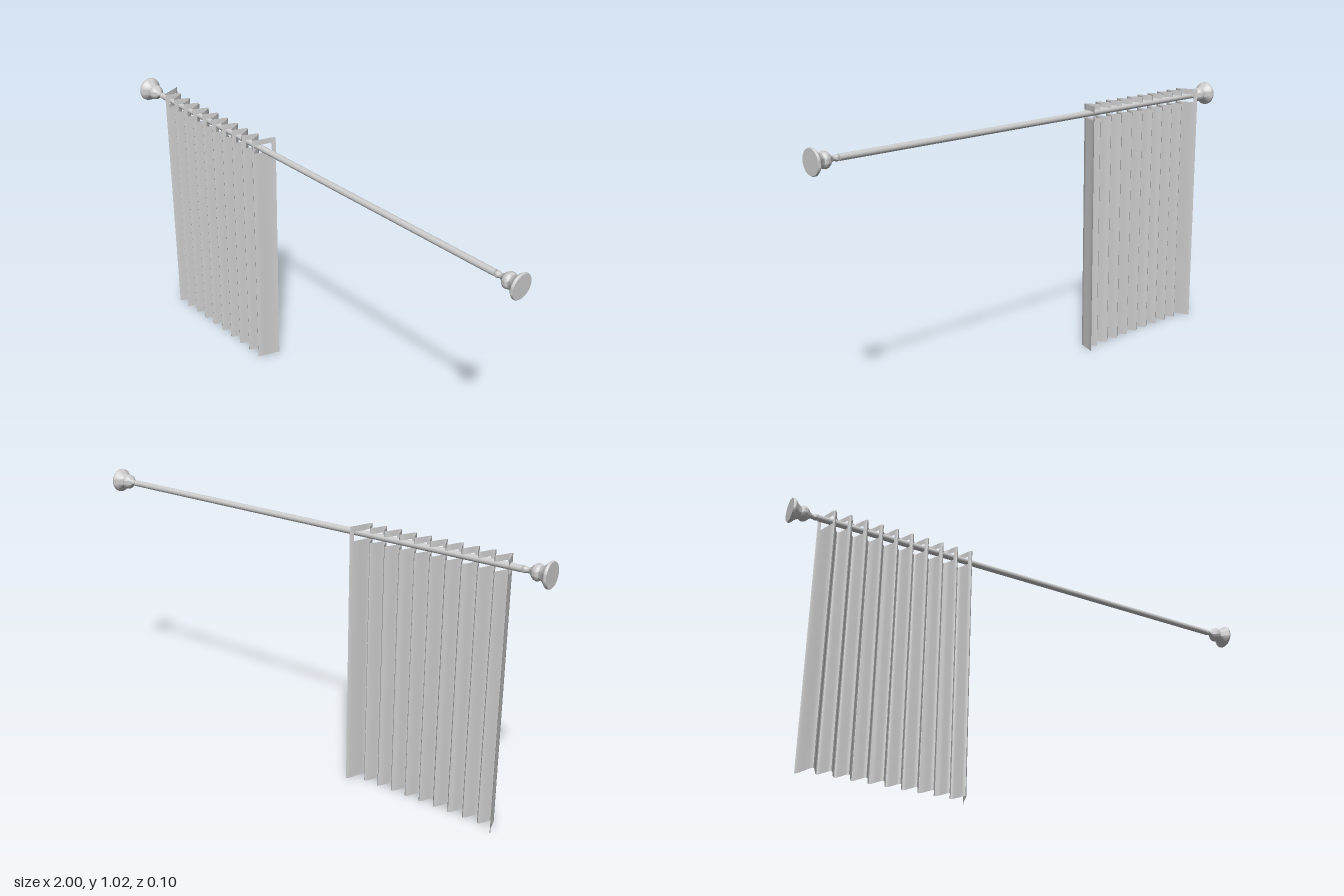
import * as THREE from 'three';
import { toCreasedNormals } from 'three/addons/utils/BufferGeometryUtils.js';

const ROD_Y = 0.975, ROD_Z = 0.005;

function material(side = THREE.FrontSide) {
  return new THREE.MeshStandardMaterial({ color: 0xcccccc, side });
}

// Plan-view path of the fabric: rounded front folds, shallow back folds, long free ends
function pleatPath() {
  const folds = 10, first = -0.838, pitch = 0.0625;
  const front = 0.035, back = -0.02, end = -0.05;
  // [distance from the front fold, depth towards the front], both 0..1
  const half = [[0, 1], [0.14, 0.95], [0.28, 0.78], [0.52, 0.45], [0.75, 0.15], [0.9, 0.03], [1, 0]];
  const path = [];
  for (let i = 0; i < folds; i++) {
    const x = first + i * pitch;
    const zl = i === 0 ? end : back, zr = i === folds - 1 ? end : back;
    const wl = i === 0 ? 0.037 : pitch / 2, wr = i === folds - 1 ? 0.036 : pitch / 2;
    for (const [t, u] of [...half].reverse()) {
      if (t === 1 && i > 0) continue; // shared with the previous fold
      path.push([x - t * wl, zl + (front - zl) * u]);
    }
    for (const [t, u] of half.slice(1)) path.push([x + t * wr, zr + (front - zr) * u]);
  }
  return path;
}

// Fabric strips between the path points, left open where the rod passes through
function curtainGeometry() {
  const path = pleatPath();
  const levels = [0, 0.955, 0.988, 1.01];
  const pos = [];
  for (let i = 0; i < path.length - 1; i++) {
    const [x0, z0] = path[i], [x1, z1] = path[i + 1];
    const mid = (z0 + z1) / 2;
    for (let k = 0; k < 3; k++) {
      if (k === 1 && mid > -0.025 && mid < 0.026) continue;
      const a = levels[k], b = levels[k + 1];
      pos.push(x0, a, z0, x1, a, z1, x1, b, z1, x0, a, z0, x1, b, z1, x0, b, z0);
    }
  }
  const g = new THREE.BufferGeometry();
  g.setAttribute('position', new THREE.Float32BufferAttribute(pos, 3));
  g.computeVertexNormals();
  return toCreasedNormals(g, 0.7);
}

// Turned end piece: wall flange, ball and neck, as [radius, distance from the wall]
function finialGeometry() {
  const profile = [
    [0, 0], [0.045, 0], [0.047, 0.003], [0.047, 0.008], [0.042, 0.014], [0.033, 0.022],
    [0.026, 0.032], [0.024, 0.038], [0.028, 0.043], [0.03, 0.05], [0.028, 0.058],
    [0.022, 0.066], [0.014, 0.073], [0.01, 0.08], [0.009, 0.088], [0.012, 0.094],
    [0.012, 0.1], [0.008, 0.106], [0.008, 0.112], [0, 0.112],
  ].map(([r, h]) => new THREE.Vector2(r, h));
  return toCreasedNormals(new THREE.LatheGeometry(profile, 32), 0.7);
}

export function createModel() {
  const model = new THREE.Group();

  const rod = new THREE.Mesh(new THREE.CylinderGeometry(0.012, 0.012, 1.79, 24), material());
  rod.name = 'rod';
  rod.rotation.z = Math.PI / 2;
  rod.position.set(0, ROD_Y, ROD_Z);
  model.add(rod);

  const finial = finialGeometry();
  for (const side of [1, -1]) {
    const mesh = new THREE.Mesh(finial, material());
    mesh.name = side > 0 ? 'leftWallFinial' : 'rightWallFinial';
    mesh.rotation.z = side * Math.PI / 2;
    mesh.position.set(side, ROD_Y, ROD_Z);
    model.add(mesh);
  }

  const curtain = new THREE.Mesh(curtainGeometry(), material(THREE.DoubleSide));
  curtain.name = 'pleatedCurtain';
  model.add(curtain);

  return model;
}
